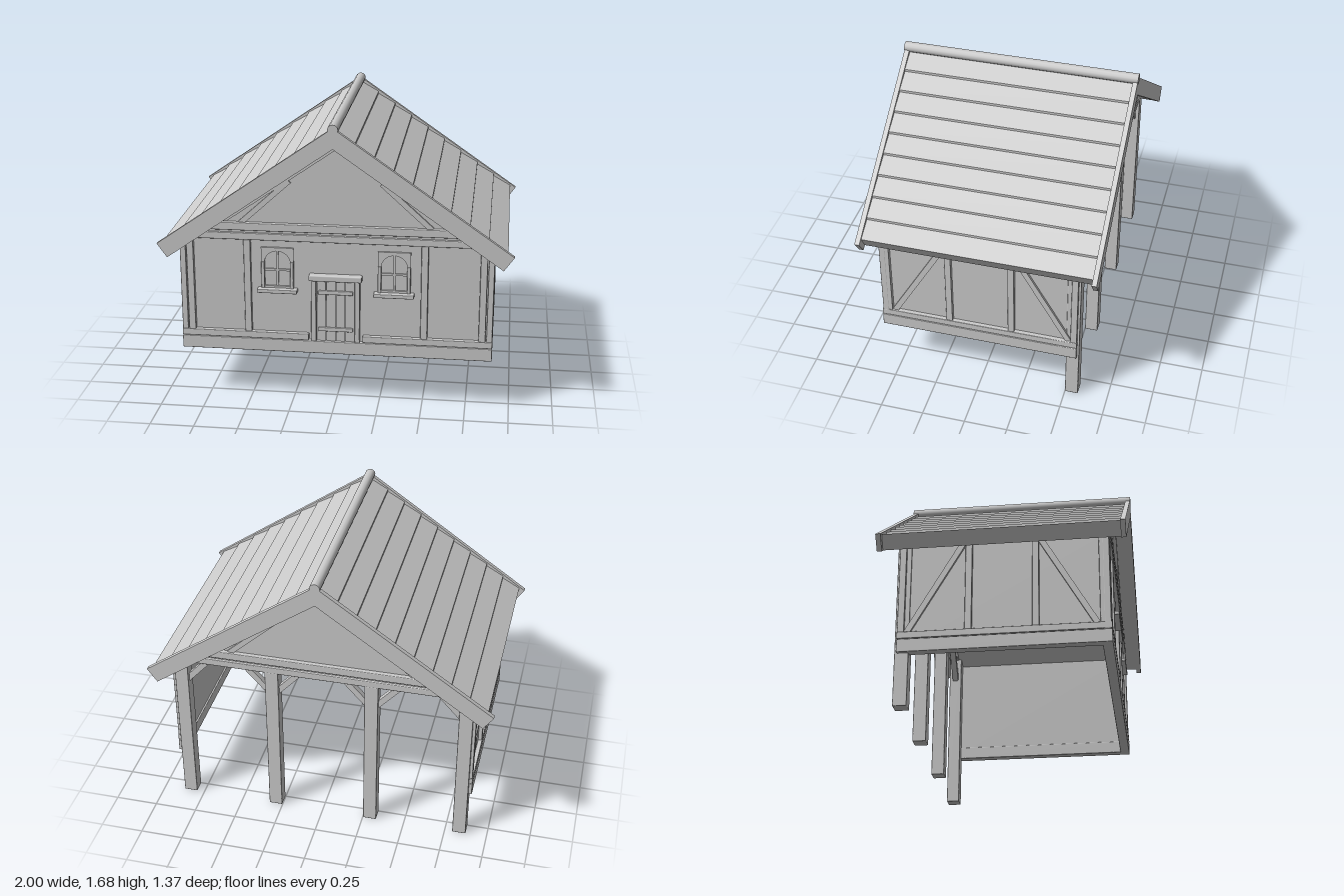
import * as THREE from 'three';
import { RoundedBoxGeometry } from 'three/addons/geometries/RoundedBoxGeometry.js';

const timber = new THREE.MeshStandardMaterial({ color: 0xcccccc });
timber.name = 'pale grey';

const SLOPE = 0.695;                       // roof pitch, rise over run
const under = (x) => 1.543 - SLOPE * x;    // underside line of the roof

export function createModel() {
  const house = new THREE.Group();
  house.name = 'timberHouse';

  const add = (name, geo) => {
    const m = new THREE.Mesh(geo, timber);
    m.name = name;
    house.add(m);
    return m;
  };
  // Soft-edged beam given by its extents on each axis
  const beam = (name, x0, x1, y0, y1, z0, z1, r = 0.005) => {
    const m = add(name, new RoundedBoxGeometry(x1 - x0, y1 - y0, z1 - z0, 1, r));
    m.position.set((x0 + x1) / 2, (y0 + y1) / 2, (z0 + z1) / 2);
  };
  // Sharp box given by its extents
  const panel = (name, x0, x1, y0, y1, z0, z1) => {
    const m = add(name, new THREE.BoxGeometry(x1 - x0, y1 - y0, z1 - z0));
    m.position.set((x0 + x1) / 2, (y0 + y1) / 2, (z0 + z1) / 2);
  };
  // Shape in x and y, extruded from z0 to z1
  const slab = (name, shape, z0, z1) => {
    const geo = new THREE.ExtrudeGeometry(shape, { depth: z1 - z0, bevelEnabled: false, curveSegments: 10 });
    add(name, geo.translate(0, 0, z0));
  };
  const outline = (pts) => new THREE.Shape(pts.map(([x, y]) => new THREE.Vector2(x, y)));
  // Diagonal brace in the x-y plane
  const braceXY = (name, ax, ay, bx, by, w, z0, z1) => {
    const m = add(name, new THREE.BoxGeometry(Math.hypot(bx - ax, by - ay), w, z1 - z0));
    m.position.set((ax + bx) / 2, (ay + by) / 2, (z0 + z1) / 2);
    m.rotation.z = Math.atan2(by - ay, bx - ax);
  };

  // Front wall with its gable, and the separate back gable
  const wall = [[-0.87, 0.31], [0.87, 0.31], [0.87, under(0.87)], [0, under(0)], [-0.87, under(0.87)]];
  slab('frontWall', outline(wall), 0.545, 0.565);
  slab('backGable', outline([[-0.81, 0.98], [0.81, 0.98], [0, under(0)]]), -0.55, -0.53);
  beam('frontSill', -0.895, 0.895, 0.3, 0.375, 0.535, 0.592);

  // Gable timbers, the same at both ends
  const rafters = outline([[-0.666, 1.08], [-0.619, 1.08], [0, 1.51], [0.619, 1.08], [0.666, 1.08], [0, 1.543]]);
  for (const f of [1, -1]) {
    const z = (a, b) => (f > 0 ? [a, b] : [-b + 0.015, -a + 0.015]);
    beam('tieBeam', -0.81, 0.81, 0.975, 1.015, ...z(0.535, 0.592));
    panel('tieBeamGroove', -0.75, 0.75, 1.01, 1.035, ...z(0.535, 0.575));
    beam('upperTieBeam', -0.72, 0.72, 1.03, 1.075, ...z(0.535, 0.592));
    slab('gableRafters', rafters, ...z(0.56, 0.585));
    for (const s of [1, -1]) braceXY('gableBrace', s * 0.54, 1.07, s * 0.26, 1.325, 0.03, ...z(0.56, 0.578));
  }

  for (const s of [1, -1]) {
    const x = (a, b) => (s > 0 ? [a, b] : [-b, -a]);

    // Front posts and floor plate
    beam('cornerPost', ...x(0.815, 0.855), 0.415, 0.975, 0.55, 0.59);
    beam('frontCornerEdge', ...x(0.86, 0.894), 0.375, 0.945, 0.55, 0.587);
    beam('frontPost', ...x(0.485, 0.525), 0.415, 0.975, 0.55, 0.588);
    beam('frontPlate', ...x(0.155, 0.895), 0.378, 0.417, 0.55, 0.592);

    // Side wall, sill, plate, posts and braces
    panel('sideWall', ...x(0.85, 0.87), 0.31, 0.95, -0.55, 0.565);
    beam('sideSill', ...x(0.84, 0.895), 0.3, 0.375, -0.565, 0.585);
    beam('sidePlate', ...x(0.855, 0.895), 0.378, 0.417, -0.565, 0.585);
    for (const z of [0.548, 0.185, -0.18, -0.545]) {
      beam('sidePost', ...x(0.855, 0.893), 0.415, 0.94, z - 0.019, z + 0.019);
    }
    for (const f of [1, -1]) {
      const brace = add('sideBrace', new THREE.BoxGeometry(0.025, 0.032, Math.hypot(0.3, 0.52)));
      brace.position.set(s * 0.872, 0.675, f * 0.365);
      brace.rotation.x = f * Math.atan2(0.52, 0.3);
    }

    // Back porch posts with knee braces under the beam
    for (const px of [0.835, 0.292]) {
      beam('backPost', ...x(px - 0.04, px + 0.04), 0, 0.98, -0.577, -0.5);
      for (const d of px > 0.5 ? [-1] : [-1, 1]) {
        braceXY('kneeBrace', s * (px + d * 0.03), 0.84, s * (px + d * 0.165), 0.99, 0.035, -0.555, -0.52);
      }
    }

    // Roof slope: lapped boards as a sawtooth profile
    const topLine = (t) => 1.65 - SLOPE * t;
    const profile = [[0, under(0)], [s * 0.92, under(0.92)]];
    for (let i = 0; i < 9; i++) {
      const a = 0.965 - i * 0.106, b = a - 0.106;
      profile.push([s * a, topLine(a)], [s * b, topLine(b) - 0.014]);
    }
    profile.push([0, 1.65]);
    slab('roofBoards', outline(profile), -0.66, 0.66);

    // Arched window, showing on both faces of the wall
    const cx = s * 0.333;
    const frame = outline([[cx - 0.093, 0.685], [cx + 0.093, 0.685], [cx + 0.093, 0.93], [cx - 0.093, 0.93]]);
    const hole = new THREE.Path();
    hole.moveTo(cx - 0.075, 0.7);
    hole.lineTo(cx - 0.075, 0.835);
    hole.absarc(cx, 0.835, 0.075, Math.PI, 0, true);
    hole.lineTo(cx + 0.075, 0.7);
    frame.holes.push(hole);
    slab('windowFrame', frame, 0.535, 0.577);
    for (const j of [-1, 1]) {
      beam('windowJamb', cx + j * 0.083 - 0.01, cx + j * 0.083 + 0.01, 0.685, 0.845, 0.532, 0.584);
    }
    panel('windowMullion', cx - 0.006, cx + 0.006, 0.69, 0.91, 0.538, 0.573);
    panel('windowRail', cx - 0.076, cx + 0.076, 0.79, 0.802, 0.538, 0.573);
    beam('windowSill', cx - 0.115, cx + 0.115, 0.665, 0.688, 0.515, 0.612);

    // Door jamb
    beam('doorJamb', ...x(0.11, 0.14), 0.375, 0.75, 0.55, 0.594);
  }

  // Door planks, ledges and lintel
  for (let i = 0; i < 4; i++) {
    const x = -0.11 + i * 0.055;
    panel('doorPlank', x + 0.002, x + 0.053, 0.375, 0.747, 0.55, 0.574);
  }
  for (const y of [0.447, 0.672]) beam('doorLedge', -0.1, 0.1, y - 0.012, y + 0.012, 0.56, 0.584);
  beam('doorLintel', -0.152, 0.152, 0.745, 0.782, 0.55, 0.604, 0.008);

  // Bargeboards closing both roof ends
  const barge = outline([[0, 1.66], [-1, 0.965], [-0.943, 0.885], [0, under(0)], [0.943, 0.885], [1, 0.965]]);
  slab('frontBargeboard', barge, 0.655, 0.683);
  slab('backBargeboard', barge, -0.683, -0.655);

  // Round ridge pole
  const ridge = add('ridgePole', new THREE.CylinderGeometry(0.03, 0.03, 1.37, 12));
  ridge.rotation.x = Math.PI / 2;
  ridge.position.y = 1.65;

  return house;
}
